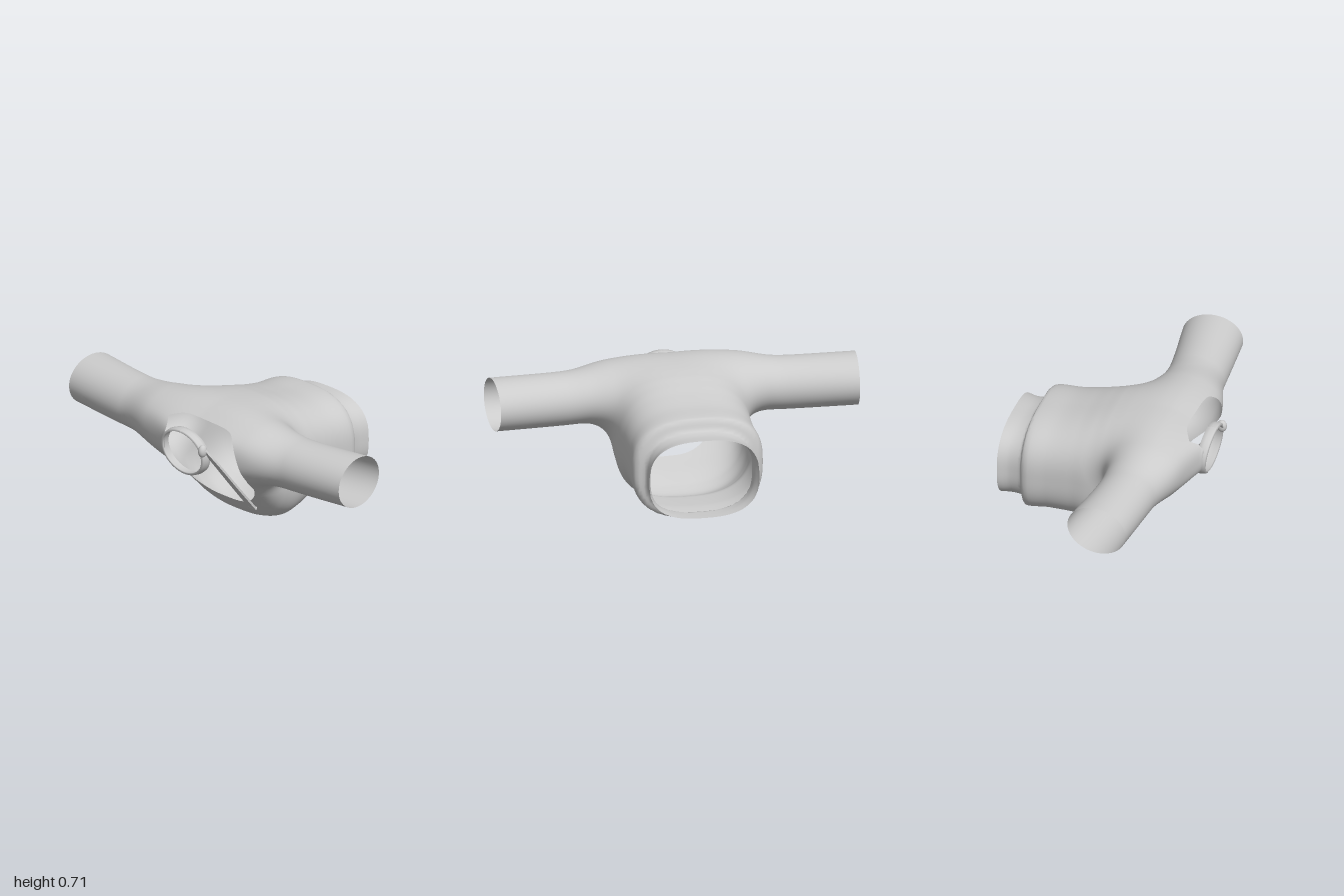
import * as THREE from 'three';

// Monotone Hermite interpolation of table rows [t, a, b, ...]
function sample(rows, t, c) {
  const n = rows.length - 1;
  if (t <= rows[0][0]) return rows[0][c];
  if (t >= rows[n][0]) return rows[n][c];
  let i = 0;
  while (rows[i + 1][0] < t) i++;
  const slope = (k) => (rows[k + 1][c] - rows[k][c]) / (rows[k + 1][0] - rows[k][0]);
  const tangent = (k) => {
    if (k === 0 || k === n) return slope(k === 0 ? 0 : n - 1);
    const a = slope(k - 1), b = slope(k);
    return a * b <= 0 ? 0 : (2 * a * b) / (a + b);
  };
  const h = rows[i + 1][0] - rows[i][0], u = (t - rows[i][0]) / h, u2 = u * u, u3 = u2 * u;
  return (2 * u3 - 3 * u2 + 1) * rows[i][c] + (u3 - 2 * u2 + u) * h * tangent(i) +
    (3 * u2 - 2 * u3) * rows[i + 1][c] + (u3 - u2) * h * tangent(i + 1);
}

// Torso sections along z: [z, top, bottom, half width]
const TORSO = [
  [-0.57, 0.53, 0.093, 0.3], [-0.5, 0.527, 0.09, 0.28], [-0.445, 0.535, 0.085, 0.285], [-0.415, 0.6, 0.045, 0.345],
  [-0.38, 0.605, 0.05, 0.355], [-0.28, 0.612, 0.06, 0.35], [-0.15, 0.637, 0.058, 0.352], [-0.05, 0.665, 0.02, 0.36],
  [0.02, 0.68, 0.002, 0.362], [0.1, 0.685, 0.025, 0.36], [0.16, 0.685, 0.07, 0.36], [0.22, 0.685, 0.135, 0.36],
  [0.3, 0.68, 0.22, 0.355], [0.4, 0.65, 0.325, 0.33], [0.46, 0.63, 0.39, 0.28], [0.53, 0.61, 0.42, 0.15],
];
// Sleeve sections along |x|: [x, centre y, radius y, centre z, radius z]
const SLEEVE = [
  [0, 0.53, 0.14, 0.24, 0.18], [0.35, 0.53, 0.15, 0.27, 0.18], [0.6, 0.514, 0.142, 0.255, 0.157], [1, 0.523, 0.14, 0.215, 0.168],
];

// Torso and sleeves blended into one field, negative inside
function field(x, y, z) {
  const top = sample(TORSO, z, 1), bot = sample(TORSO, z, 2), w = sample(TORSO, z, 3);
  const h = (top - bot) / 2, n = 2.7;
  const u = Math.abs(x / w), v = Math.abs((y - (top + bot) / 2) / h);
  const torso = Math.max((Math.pow(u ** n + v ** n, 1 / n) - 1) * Math.min(w, h), z - 0.53);
  const [cy, ry, cz, rz] = [1, 2, 3, 4].map((c) => sample(SLEEVE, Math.abs(x), c));
  const sleeve = (Math.hypot((y - cy) / ry, (z - cz) / rz) - 1) * Math.min(ry, rz);
  const k = 0.14, m = Math.max(k - Math.abs(torso - sleeve), 0) / k;
  return Math.min(torso, sleeve) - m * m * k * 0.25;
}

// Neck opening outline, seen from the front
const NECK = new THREE.SplineCurve([
  [-0.18, 0.635], [-0.145, 0.6], [-0.14, 0.52], [-0.15, 0.425], [-0.255, 0.355], [-0.24, 0.29], [-0.17, 0.205], [-0.08, 0.16],
  [0.03, 0.15], [0.15, 0.158], [0.25, 0.22], [0.34, 0.36], [0.36, 0.43], [0.33, 0.55], [0.28, 0.63],
  [0.2, 0.658], [0, 0.663], [-0.1, 0.66], [-0.18, 0.635],
].map((p) => new THREE.Vector2(...p))).getPoints(90);

// Distance to the neck outline, negative in the opening
function neckDistance(x, y) {
  let best = Infinity, inside = false;
  for (let i = 0; i < NECK.length - 1; i++) {
    const a = NECK[i], b = NECK[i + 1], dx = b.x - a.x, dy = b.y - a.y;
    const t = THREE.MathUtils.clamp(((x - a.x) * dx + (y - a.y) * dy) / (dx * dx + dy * dy || 1), 0, 1);
    best = Math.min(best, Math.hypot(a.x + t * dx - x, a.y + t * dy - y));
    if ((a.y > y) !== (b.y > y) && x < a.x + ((y - a.y) / dy) * dx) inside = !inside;
  }
  return inside ? -best : best;
}

// Positive where cloth remains: trims cuffs, waist and neck
function keep(x, y, z) {
  const ends = Math.min(0.971 + 0.075 * z - Math.abs(x), z + 0.568);
  return z > 0.1 ? Math.min(ends, neckDistance(x, y)) : ends;
}

// Surface net over the field, trimmed cleanly along the openings
function garmentGeometry() {
  const s = 0.02, lo = [-1.05, -0.07, -0.65], n = [106, 44, 64];
  const id = (i, j, k) => (i * n[1] + j) * n[2] + k;
  const f = new Float32Array(n[0] * n[1] * n[2]);
  for (let i = 0; i < n[0]; i++) for (let j = 0; j < n[1]; j++) for (let k = 0; k < n[2]; k++)
    f[id(i, j, k)] = field(lo[0] + i * s, lo[1] + j * s, lo[2] + k * s);
  const cells = new Map();
  const corner = (c) => [c >> 2 & 1, c >> 1 & 1, c & 1];

  // One vertex per crossed cell, pulled onto the surface
  function vertex(i, j, k) {
    const key = id(i, j, k);
    if (cells.has(key)) return cells.get(key);
    const p = [0, 0, 0];
    let count = 0;
    for (let a = 0; a < 8; a++) for (const bit of [1, 2, 4]) {
      if (a & bit) continue;
      const A = corner(a), B = corner(a | bit);
      const fa = f[id(i + A[0], j + A[1], k + A[2])], fb = f[id(i + B[0], j + B[1], k + B[2])];
      if ((fa < 0) === (fb < 0)) continue;
      const t = fa / (fa - fb);
      for (let d = 0; d < 3; d++) p[d] += A[d] + t * (B[d] - A[d]);
      count++;
    }
    const q = new THREE.Vector3(...p.map((v, d) => lo[d] + s * ([i, j, k][d] + v / count)));
    const e = 0.006, g = new THREE.Vector3(
      field(q.x + e, q.y, q.z) - field(q.x - e, q.y, q.z),
      field(q.x, q.y + e, q.z) - field(q.x, q.y - e, q.z),
      field(q.x, q.y, q.z + e) - field(q.x, q.y, q.z - e)).divideScalar(2 * e);
    const step = THREE.MathUtils.clamp(field(q.x, q.y, q.z) / Math.max(g.lengthSq(), 0.05), -0.01, 0.01);
    q.addScaledVector(g, -step);
    const out = { p: q, n: g.normalize(), g: keep(q.x, q.y, q.z) };
    cells.set(key, out);
    return out;
  }

  const pos = [], nor = [];
  const put = (v) => { pos.push(v.p.x, v.p.y, v.p.z); nor.push(v.n.x, v.n.y, v.n.z); };
  function triangle(...tri) {
    const poly = [];
    tri.forEach((a, i) => {
      const b = tri[(i + 1) % 3];
      if (a.g >= 0) poly.push(a);
      if ((a.g >= 0) !== (b.g >= 0)) {
        const t = a.g / (a.g - b.g);
        poly.push({ p: a.p.clone().lerp(b.p, t), n: a.n.clone().lerp(b.n, t).normalize() });
      }
    });
    for (let i = 1; i < poly.length - 1; i++) [poly[0], poly[i], poly[i + 1]].forEach(put);
  }
  for (let i = 1; i < n[0] - 1; i++) for (let j = 1; j < n[1] - 1; j++) for (let k = 1; k < n[2] - 1; k++)
    for (let d = 0; d < 3; d++) {
      const o = [i, j, k], u = (d + 1) % 3, v = (d + 2) % 3, end = [...o];
      end[d]++;
      const inA = f[id(...o)] < 0;
      if (inA === f[id(...end)] < 0) continue;
      let quad = [[1, 1], [0, 1], [0, 0], [1, 0]].map(([a, b]) => {
        const c = [...o];
        c[u] -= a; c[v] -= b;
        return vertex(...c);
      });
      if (!inA) quad = quad.reverse();
      triangle(quad[0], quad[1], quad[2]);
      triangle(quad[0], quad[2], quad[3]);
    }
  const geo = new THREE.BufferGeometry();
  geo.setAttribute('position', new THREE.Float32BufferAttribute(pos, 3));
  geo.setAttribute('normal', new THREE.Float32BufferAttribute(nor, 3));
  return geo;
}

// Ribbon following a curve, with its width along x
function ribbonGeometry(points, width, thickness) {
  const curve = new THREE.CatmullRomCurve3(points.map((p) => new THREE.Vector3(...p)));
  const geo = new THREE.BoxGeometry(width, 1, thickness, 1, 24, 1), p = geo.attributes.position;
  for (let i = 0; i < p.count; i++) {
    const t = 0.5 - p.getY(i), c = curve.getPoint(t), tan = curve.getTangent(t);
    const out = new THREE.Vector3(1, 0, 0).cross(tan).normalize();
    const taper = 0.65 + 0.35 * t;
    c.x += p.getX(i) * taper;
    c.addScaledVector(out, -p.getZ(i));
    p.setXYZ(i, c.x, c.y, c.z);
  }
  geo.computeVertexNormals();
  return geo;
}

export function createModel() {
  const group = new THREE.Group();
  const material = new THREE.MeshStandardMaterial({ color: 0xcccccc, side: THREE.DoubleSide });
  const add = (name, geo) => {
    const mesh = new THREE.Mesh(geo, material);
    mesh.name = name;
    group.add(mesh);
    return mesh;
  };

  add('torsoAndSleeves', garmentGeometry());

  // Collar: a thin folded band, oval and leaning forward at the top
  const profile = [[0.95, -0.026], [1, -0.028], [1.03, -0.005], [1, 0.022], [0.92, 0.028], [0.9, 0.022], [0.95, 0], [0.95, -0.026]];
  const band = new THREE.LatheGeometry(profile.map((p) => new THREE.Vector2(...p)), 64);
  const b = band.attributes.position;
  for (let i = 0; i < b.count; i++) {
    const x = b.getX(i) * 0.156, y = b.getZ(i) * 0.132;
    b.setXYZ(i, x, 0.498 + y, 0.525 + b.getY(i) + 0.13 * y);
  }
  band.computeVertexNormals();
  add('collar', band);

  // Strap from the collar down to the neckline, with its knot and lower stitch
  add('strap', ribbonGeometry([[0.145, 0.57, 0.55], [0.185, 0.47, 0.485], [0.21, 0.3, 0.36], [0.208, 0.135, 0.222]], 0.055, 0.012));
  const knot = add('strapKnot', new THREE.SphereGeometry(1, 20, 14));
  knot.scale.set(0.022, 0.035, 0.027);
  knot.position.set(0.148, 0.548, 0.545);
  const stitch = add('strapStitch', new THREE.CapsuleGeometry(0.009, 0.045, 4, 10));
  stitch.rotation.z = Math.PI / 2;
  stitch.position.set(0.208, 0.142, 0.226);
  return group;
}
